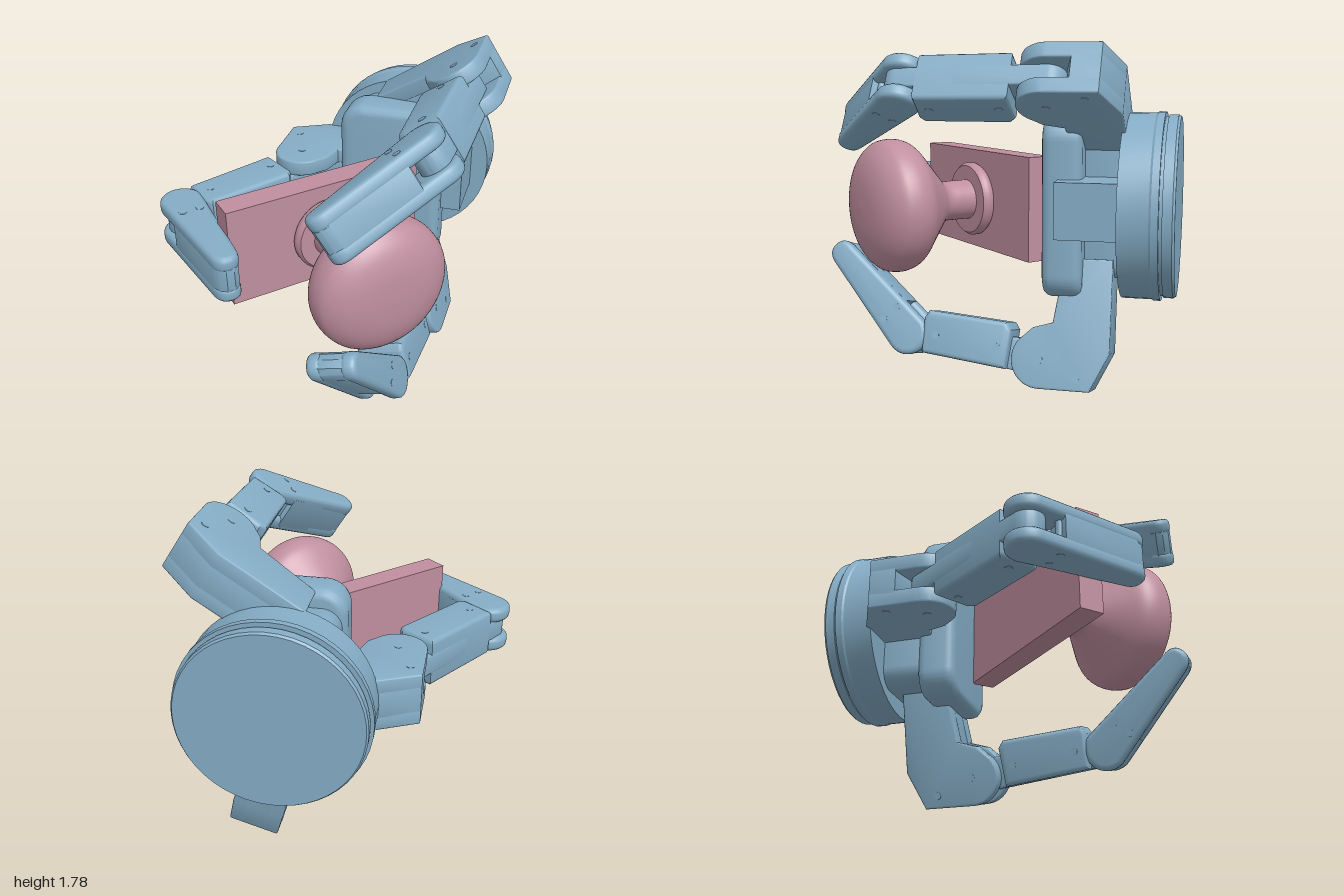
import * as THREE from 'three';
import { toCreasedNormals } from 'three/addons/utils/BufferGeometryUtils.js';

const blue = new THREE.MeshStandardMaterial({ color: 0x85adc6 });
const pink = new THREE.MeshStandardMaterial({ color: 0xc08f9f });
const rad = THREE.MathUtils.degToRad;

function add(parent, name, geo, mat = blue, x = 0, y = 0, z = 0) {
  const m = new THREE.Mesh(geo, mat);
  m.name = name;
  m.position.set(x, y, z);
  parent.add(m);
  return m;
}

function group(parent, name, x, y, z) {
  const g = new THREE.Group();
  g.name = name;
  g.position.set(x, y, z);
  parent.add(g);
  return g;
}

// Bevelled slab centred on z = 0
function slab(shape, width, bevel) {
  const depth = width - 2 * bevel;
  const geo = new THREE.ExtrudeGeometry(shape, {
    depth, bevelThickness: bevel, bevelSize: bevel, bevelOffset: -bevel,
    bevelSegments: 3, curveSegments: 14,
  });
  geo.translate(0, 0, -depth / 2);
  return toCreasedNormals(geo, 0.6);
}

// Slab with its profile in the finger's bending plane (x outward, z forward)
const plate = (shape, width, bevel) => slab(shape, width, bevel).rotateX(Math.PI / 2);

function poly(points) {
  return new THREE.Shape(points.map(([x, y]) => new THREE.Vector2(x, y)));
}

function roundedRect(w, h, r) {
  const s = new THREE.Shape();
  s.absarc(w / 2 - r, h / 2 - r, r, 0, Math.PI / 2);
  s.absarc(-w / 2 + r, h / 2 - r, r, Math.PI / 2, Math.PI);
  s.absarc(-w / 2 + r, -h / 2 + r, r, Math.PI, Math.PI * 1.5);
  s.absarc(w / 2 - r, -h / 2 + r, r, Math.PI * 1.5, Math.PI * 2);
  s.closePath();
  return s;
}

// Screw heads on both cheeks of a link
function screws(parent, spots, width) {
  for (const [x, z] of spots)
    add(parent, 'screw', new THREE.CylinderGeometry(0.02, 0.02, width + 0.004, 16), blue, x, 0, z);
}

// One finger: knuckle, middle link and fingertip, bending in the local x-z plane
function finger(hand, name, [u, v, w], angle, tilt, L) {
  const f = group(hand, name, u, v, w);
  f.rotation.z = rad(angle);
  const jr = 0.52, jw = 0.61, W = 0.275;

  // Knuckle: two full side plates around a core that leaves a slot at the joint
  const side = poly([[0, 0.26], [0.47, 0.255], [0.665, 0.35]]);
  side.lineTo(0.665, 0.6);
  side.absarc(jr, jw, 0.145, 0, Math.PI * 0.8);
  side.lineTo(0.36, 0.65);
  side.lineTo(0.33, 0.55);
  side.lineTo(0, 0.5);
  for (const s of [-1, 1]) add(f, 'knuckleSide', plate(side, 0.085, 0.01), blue, 0, s * 0.095, 0);
  const core = poly([[0, 0.26], [0.47, 0.255], [0.665, 0.35], [0.665, 0.49], [0.56, 0.52], [0.36, 0.55], [0, 0.5]]);
  add(f, 'knuckleCore', plate(core, 0.14, 0.002));
  screws(f, [[0.6, 0.42], [jr, jw]], W);

  // Middle link: tongue between the joints carrying a boxy shell
  const mid = group(f, 'middleLink', jr, 0, jw);
  mid.rotation.y = rad(tilt);
  const bar = new THREE.Shape();
  bar.absarc(0, 0, 0.085, Math.PI, Math.PI * 2);
  bar.absarc(0, L, 0.08, 0, Math.PI);
  bar.closePath();
  add(mid, 'tongue', plate(bar, 0.11, 0.01));
  const shell = poly([[0.082, 0.17], [0.082, L - 0.1], [-0.1, L - 0.08], [-0.14, L - 0.1], [-0.155, 0.2], [-0.12, 0.17]]);
  add(mid, 'shell', plate(shell, 0.26, 0.025));
  screws(mid, [[-0.02, 0.23], [-0.02, L - 0.16]], 0.26);

  // Fingertip: two cheeks joined by a core, open only at the joint, bent inward
  const a = rad(tilt);
  const tip = group(f, 'fingertip', jr + L * Math.sin(a), 0, jw + L * Math.cos(a));
  tip.rotation.y = rad(-46);
  const cheek = new THREE.Shape();
  cheek.absarc(0, 0, 0.11, Math.PI, Math.PI * 2);
  cheek.lineTo(0.07, 0.56);
  cheek.quadraticCurveTo(0.06, 0.63, 0, 0.63);
  cheek.quadraticCurveTo(-0.06, 0.63, -0.065, 0.56);
  cheek.closePath();
  for (const s of [-1, 1]) add(tip, 'cheek', plate(cheek, 0.08, 0.026), blue, 0, s * 0.087, 0);
  const pad = poly([[0.098, 0.14], [0.068, 0.56], [0.05, 0.605], [0.02, 0.626], [-0.02, 0.626], [-0.05, 0.605], [-0.064, 0.56], [-0.1, 0.14]]);
  add(tip, 'tipCore', plate(pad, 0.19, 0.004));
  screws(tip, [[0.045, 0.14], [-0.045, 0.14]], 0.254);
}

export function createModel() {
  const root = new THREE.Group();
  root.name = 'gripperWithKnob';

  // Door plate and knob
  add(root, 'plate', new THREE.BoxGeometry(1.07, 0.54, 0.13), pink, -0.275, 0.95, 0.035);
  const knob = group(root, 'knob', -0.27, 0.95, 0);
  const lathe = (pts, seg = 64) =>
    new THREE.LatheGeometry(pts.map(([r, h]) => new THREE.Vector2(r, h)), seg).rotateX(Math.PI / 2);
  add(knob, 'flange', toCreasedNormals(
    lathe([[0, 0.1], [0.19, 0.1], [0.2, 0.115], [0.2, 0.14], [0.185, 0.16], [0, 0.16]]), 0.9), pink);
  const profile = new THREE.SplineCurve([
    [0.108, 0.15], [0.107, 0.24], [0.112, 0.32], [0.165, 0.375], [0.25, 0.45], [0.32, 0.515],
    [0.346, 0.57], [0.348, 0.63], [0.328, 0.685], [0.26, 0.742], [0.15, 0.777], [0, 0.787],
  ].map(([r, h]) => new THREE.Vector2(r, h))).getPoints(50);
  profile[50].x = 0;
  add(knob, 'handle', new THREE.LatheGeometry(profile, 64).rotateX(Math.PI / 2), pink);

  // Hand frame: local z runs from the wrist to the palm
  const hand = group(root, 'hand', 0.676, 0.97, -0.54);
  hand.rotation.y = rad(-45.6);
  add(hand, 'wrist', toCreasedNormals(lathe([
    [0, 0], [0.455, 0], [0.464, 0.012], [0.464, 0.06], [0.456, 0.06], [0.456, 0.075],
    [0.48, 0.075], [0.48, 0.11], [0.474, 0.12], [0.474, 0.27], [0, 0.27],
  ], 48), 0.5));

  // Hub, side mount and palm pad
  add(hand, 'hub', slab(roundedRect(0.38, 0.76, 0.1), 0.24, 0.005), blue, -0.07, 0, 0.37);
  add(hand, 'sideMount', new THREE.BoxGeometry(0.38, 0.28, 0.32), blue, 0.19, 0.015, 0.42);
  add(hand, 'palm', slab(roundedRect(0.555, 0.93, 0.13), 0.2, 0.045), blue, -0.005, 0.005, 0.565);

  finger(hand, 'upperFinger', [-0.055, 0.34, -0.005], 33, -2, 0.74);
  finger(hand, 'lowerFinger', [0.025, -0.295, 0.055], -74, -7, 0.72);
  finger(hand, 'thumb', [0, 0, 0], 180, 34, 0.77);
  return root;
}
